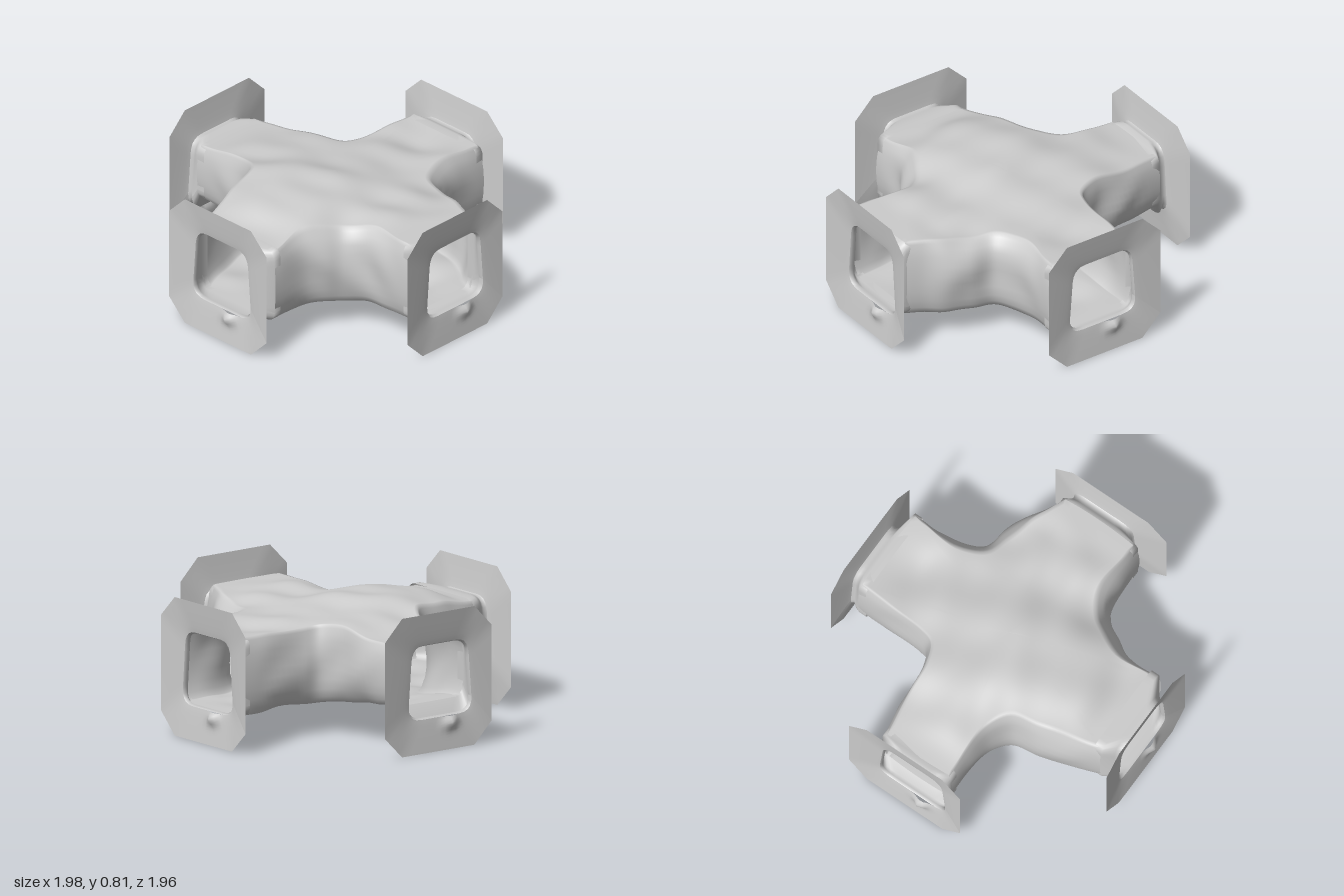
import * as THREE from 'three';

const material = new THREE.MeshStandardMaterial({ color: 0xcccccc, side: THREE.DoubleSide });
const { smoothstep, lerp } = THREE.MathUtils;

// Joins equal-length rows of points into a surface; the rows wrap round when closed.
function loft(name, rows, closed, skip = () => false) {
  const n = rows[0].length, index = [];
  const last = closed ? rows.length : rows.length - 1;
  for (let i = 0; i < last; i++) {
    const j = (i + 1) % rows.length;
    for (let v = 0; v < n - 1; v++) {
      if (skip(i, j, v)) continue;
      const a = i * n + v, b = j * n + v;
      index.push(a, a + 1, b + 1, a, b + 1, b);
    }
  }
  const geometry = new THREE.BufferGeometry().setFromPoints(rows.flat());
  geometry.setIndex(index);
  geometry.computeVertexNormals();
  const mesh = new THREE.Mesh(geometry, material);
  mesh.name = name;
  return mesh;
}

// The four concave corners in plan [x, z], each running from one arm's end to the next,
// with how far the wall leans in at its top and bottom.
const corners = [
  { top: 0.28, bottom: 0.13, plan: [[0.87, -0.24], [0.78, -0.29], [0.68, -0.37], [0.55, -0.42], [0.42, -0.45], [0.36, -0.55], [0.33, -0.7], [0.33, -0.87]] },
  { top: 0.12, bottom: 0.26, plan: [[-0.25, -0.87], [-0.26, -0.7], [-0.27, -0.45], [-0.3, -0.36], [-0.42, -0.31], [-0.6, -0.3], [-0.88, -0.26]] },
  { top: 0.2, bottom: 0.16, plan: [[-0.88, 0.23], [-0.7, 0.23], [-0.53, 0.25], [-0.42, 0.33], [-0.39, 0.5], [-0.34, 0.66], [-0.27, 0.83]] },
  { top: 0.28, bottom: 0.13, plan: [[0.33, 0.83], [0.34, 0.6], [0.4, 0.48], [0.45, 0.4], [0.55, 0.33], [0.7, 0.31], [0.87, 0.3]] },
];
const END_LEAN = 0.14;

// Roughness of the rock, fading out towards the arm ends.
const fade = (x, z) => 1 - smoothstep(Math.max(Math.abs(x), Math.abs(z)), 0.6, 0.82);
const ripple = (x, z) => 0.5 * Math.sin(9 * x + 13 * z + 1) + 0.5 * Math.sin(15 * x - 6 * z)
  + 0.4 * Math.sin(23 * z + 4 * x) * Math.cos(7 * x);
const hump = (x, z, cx, cz, width) => Math.exp(-((x - cx) ** 2 + (z - cz) ** 2) / width);

function roofY(x, z) {
  return 0.655 + 0.085 * hump(x, z, -0.05, 0.25, 0.2) - 0.025 * hump(x, z, 0, -0.7, 0.04)
    - 0.035 * smoothstep(z, 0.5, 0.75) * fade(x, 0) + 0.02 * smoothstep(x, 0.3, 0.6)
    - 0.035 * smoothstep(-x, 0.4, 0.88) + 0.012 * ripple(x, z) * fade(x, z)
    - 0.045 * hump(x, z, 0.4, 0.37, 0.025) - 0.035 * hump(x, z, 0.48, -0.35, 0.02);
}

function floorY(x, z) {
  return 0.195 + 0.085 * smoothstep(-x, 0.3, 0.85) + 0.07 * hump(x, z, -0.08, -0.05, 0.08)
    - 0.025 * hump(x, z, 0.58, 0, 0.04) + 0.014 * ripple(z + 1, x) * fade(x, z);
}

// Hollow crossing: roof from the centre out, walls down, floor back to the centre.
function createTunnel() {
  const outline = [];
  corners.forEach(({ plan, top, bottom }, c) => {
    const curve = new THREE.CatmullRomCurve3(plan.map(([x, z]) => new THREE.Vector3(x, 0, z)));
    curve.getPoints(40).forEach(({ x, z }) => outline.push({ x, z, top, bottom, end: false }));
    const [x0, z0] = plan.at(-1), [x1, z1] = corners[(c + 1) % 4].plan[0];
    for (let i = 1; i < 12; i++) {
      outline.push({ x: lerp(x0, x1, i / 12), z: lerp(z0, z1, i / 12), top: END_LEAN, bottom: END_LEAN, end: true });
    }
  });

  // Wall profile: [share of the lean, height fraction]
  const wall = [[1, 1], [0.8, 0.96], [0.5, 0.89], [0.25, 0.8], [0.08, 0.68], [0, 0.56], [0, 0.44], [0.06, 0.32], [0.25, 0.19], [0.6, 0.08], [1, 0]];
  const steps = 26;
  const rows = outline.map(({ x, z, top, bottom }) => {
    const w = (z * z) / (x * x + z * z), f = fade(x, z);
    const inset = (k) => [x * (1 - k * w), z * (1 - k * (1 - w))];
    const topLean = lerp(END_LEAN, top, f), bottomLean = lerp(END_LEAN, bottom, f);
    const [tx, tz] = inset(topLean), [bx, bz] = inset(bottomLean);
    const row = [];
    for (let i = 0; i < steps; i++) {
      const r = i / steps;
      row.push(new THREE.Vector3(tx * r, roofY(tx * r, tz * r), tz * r));
    }
    for (const [share, t] of wall) {
      const bump = 0.035 * f * Math.sin(Math.PI * t) * Math.sin(14 * x - 11 * z + 7 * t);
      const [px, pz] = inset(share * (t > 0.5 ? topLean : bottomLean) + bump);
      row.push(new THREE.Vector3(px, lerp(floorY(px, pz), roofY(px, pz), t), pz));
    }
    for (let i = steps - 1; i >= 0; i--) {
      const r = i / steps;
      row.push(new THREE.Vector3(bx * r, floorY(bx * r, bz * r), bz * r));
    }
    return row;
  });
  // The arm ends stay open
  return loft('tunnelShell', rows, true, (i, j, v) =>
    v >= steps && v < steps + wall.length - 1 && (outline[i].end || outline[j].end));
}

// Rectangle with cut corners at one depth, anticlockwise from the front; round = 1 curves the cuts.
function section(depth, x0, x1, y0, y1, c, round) {
  const pts = [[x1, y0 + c], [x1, y1 - c], [x1 - c, y1], [x0 + c, y1], [x0, y1 - c], [x0, y0 + c], [x0 + c, y0], [x1 - c, y0]];
  const ring = [];
  pts.forEach(([ax, ay], i) => {
    const [bx, by] = pts[(i + 1) % 8];
    const n = i % 2 ? 5 : 10;
    for (let s = 0; s < n; s++) {
      const t = s / n, push = i % 2 ? round * c * t * (1 - t) : 0;
      ring.push(new THREE.Vector3(
        lerp(ax, bx, t) + push * Math.sign(ax + bx - x0 - x1),
        lerp(ay, by, t) + push * Math.sign(ay + by - y0 - y1), depth));
    }
  });
  ring.push(ring[0].clone());
  return ring;
}

// Neck and flared end plate of one arm, built facing +z.
function createCollar({ name, angle, end, x0, x1, y0, y1, rim, shift }) {
  const group = new THREE.Group();
  group.name = name;
  group.rotation.y = angle;
  const lip = rim - 0.028;
  // Opening, a little narrower at the top
  const neck = (depth, grow) => {
    const ring = section(depth, -0.21 - grow, 0.215 + grow, 0.207 - grow, 0.625 + grow, 0.09, 1);
    ring.forEach((p) => { p.x *= 1 - 0.35 * (p.y - 0.38); });
    return ring;
  };

  group.add(loft('neck', [
    section(end - 0.05, x0, x1, y0, y1, 0.06, 1), section(end, x0, x1, y0, y1, 0.06, 1),
    neck(Math.max(end + 0.02, rim - 0.07), 0.015), neck(rim - 0.045, 0), neck(lip, 0.008),
  ].reverse(), false));

  // Plate: a flare from the opening to the chamfered rim, with a small lump below the opening
  const inner = neck(lip, 0.008);
  const outer = section(rim, -0.39 + shift, 0.385 + shift, 0.008, 0.818, 0.125, 0);
  const rings = [];
  for (let i = 0; i <= 12; i++) {
    const t = i / 12;
    rings.push(inner.map((p, k) => {
      const q = p.clone().lerp(outer[k], t);
      q.z = lerp(lip, rim, Math.pow(t, 0.85));
      q.z += 0.04 * hump(q.x, q.y, 0.07, 0.165, 0.0016);
      return q;
    }));
  }
  group.add(loft('endPlate', rings.reverse(), false));
  return group;
}

export function createModel() {
  const model = new THREE.Group();
  model.name = 'tunnelCrossing';
  model.add(createTunnel());
  const arms = [
    { name: 'frontCollar', angle: 0, end: 0.83, x0: -0.26, x1: 0.32, y0: 0.192, y1: 0.648, rim: 0.96, shift: 0 },
    { name: 'leftCollar', angle: Math.PI / 2, end: 0.87, x0: -0.29, x1: 0.235, y0: 0.192, y1: 0.675, rim: 0.974, shift: -0.025 },
    { name: 'backCollar', angle: Math.PI, end: 0.87, x0: -0.32, x1: 0.245, y0: 0.193, y1: 0.647, rim: 0.964, shift: 0 },
    { name: 'rightCollar', angle: -Math.PI / 2, end: 0.88, x0: -0.255, x1: 0.225, y0: 0.278, y1: 0.622, rim: 0.977, shift: -0.03 },
  ];
  arms.forEach((arm) => model.add(createCollar(arm)));
  return model;
}
